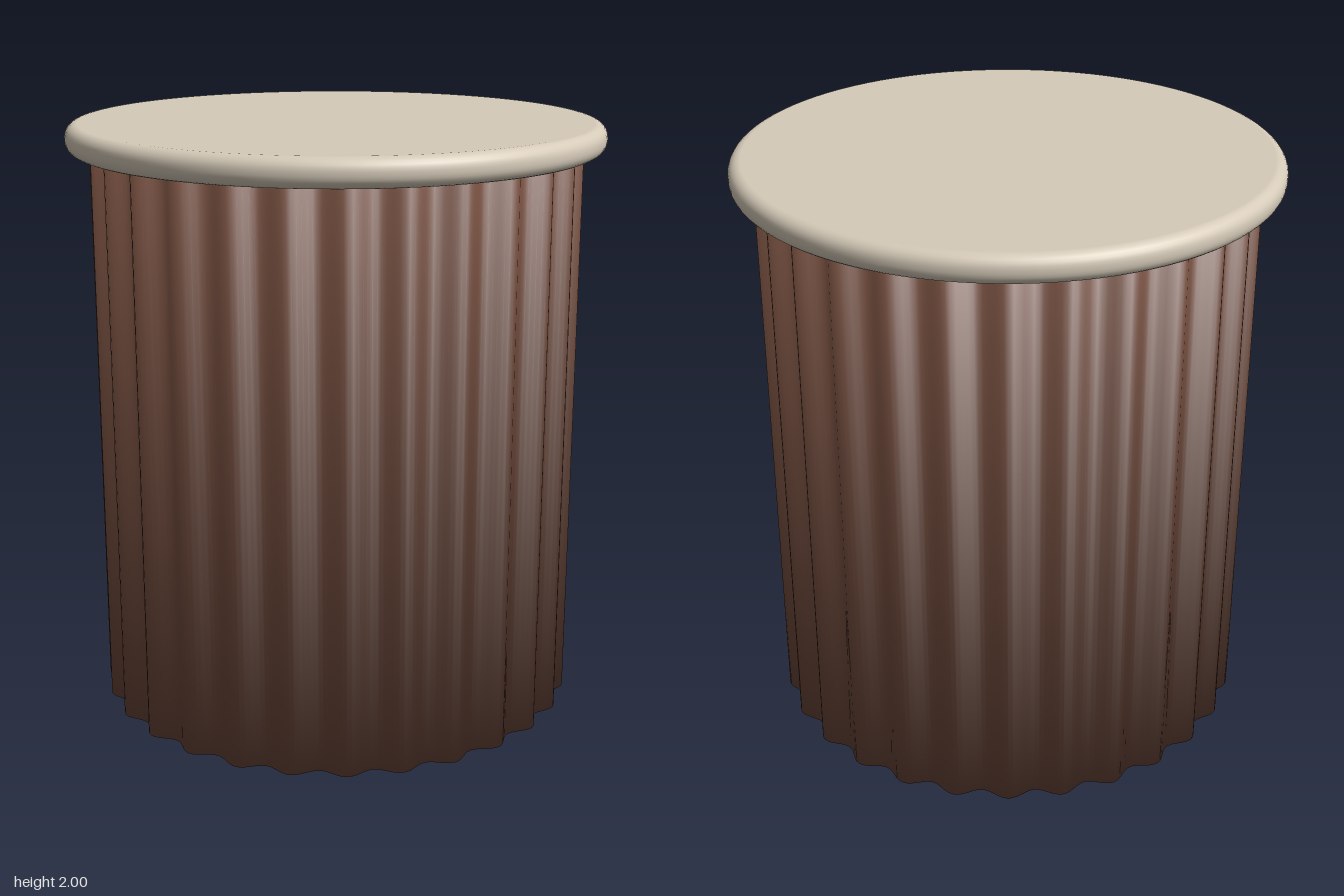
import * as THREE from 'three';

const FLUTES = 28;
const SEGMENTS = FLUTES * 12;

// Closed fluted column, softly shaded over its top and bottom edges
function flutedColumn(radius, depth, height) {
  // each ring: radial scale, height, vertical tilt of the normal
  const rings = [[0, 0, -1], [1, 0, -1], [1, height, 1], [0, height, 1]];
  const positions = [], normals = [], index = [];
  const n = new THREE.Vector3();
  rings.forEach(([scale, y, tilt], j) => {
    for (let i = 0; i <= SEGMENTS; i++) {
      const a = (i / SEGMENTS) * Math.PI * 2;
      const c = Math.cos(a), s = Math.sin(a);
      const r = radius - depth * Math.cos(FLUTES * a);
      const dr = depth * FLUTES * Math.sin(FLUTES * a);
      positions.push(scale * r * c, y, scale * r * s);
      n.set(r * c + dr * s, 0, r * s - dr * c).normalize().multiplyScalar(scale);
      n.y = tilt;
      n.normalize();
      normals.push(n.x, n.y, n.z);
      if (j < rings.length - 1 && i < SEGMENTS) {
        const p = j * (SEGMENTS + 1) + i, q = p + SEGMENTS + 1;
        if (j < rings.length - 2) index.push(p, q, q + 1);
        else index.push(p, q, p + 1);
        if (j === 1) index.push(p, q + 1, p + 1);
      }
    }
  });
  const geometry = new THREE.BufferGeometry();
  geometry.setAttribute('position', new THREE.Float32BufferAttribute(positions, 3));
  geometry.setAttribute('normal', new THREE.Float32BufferAttribute(normals, 3));
  geometry.setIndex(index);
  return geometry;
}

// Round slab with a rounded rim
function roundedDisc(radius, bottom, top, bevel) {
  const path = [new THREE.Vector2(0, bottom)];
  const steps = 6;
  for (const [cy, start] of [[bottom + bevel, -Math.PI / 2], [top - bevel, 0]]) {
    for (let i = 0; i <= steps; i++) {
      const a = start + (i / steps) * Math.PI / 2;
      path.push(new THREE.Vector2(radius - bevel + bevel * Math.cos(a), cy + bevel * Math.sin(a)));
    }
  }
  path.push(new THREE.Vector2(0, top));
  return new THREE.LatheGeometry(path, 96);
}

export function createModel() {
  const wood = new THREE.MeshStandardMaterial({ color: 0x6f4a3b });
  wood.name = 'brown wood';
  const stone = new THREE.MeshStandardMaterial({ color: 0xd6cbb9 });
  stone.name = 'cream stone';

  const group = new THREE.Group();
  group.name = 'flutedSideTable';

  const base = new THREE.Mesh(flutedColumn(0.805, 0.02, 1.91), wood);
  base.name = 'flutedBase';

  const tableTop = new THREE.Mesh(roundedDisc(0.9, 1.905, 2, 0.042), stone);
  tableTop.name = 'tableTop';

  group.add(base, tableTop);
  return group;
}
